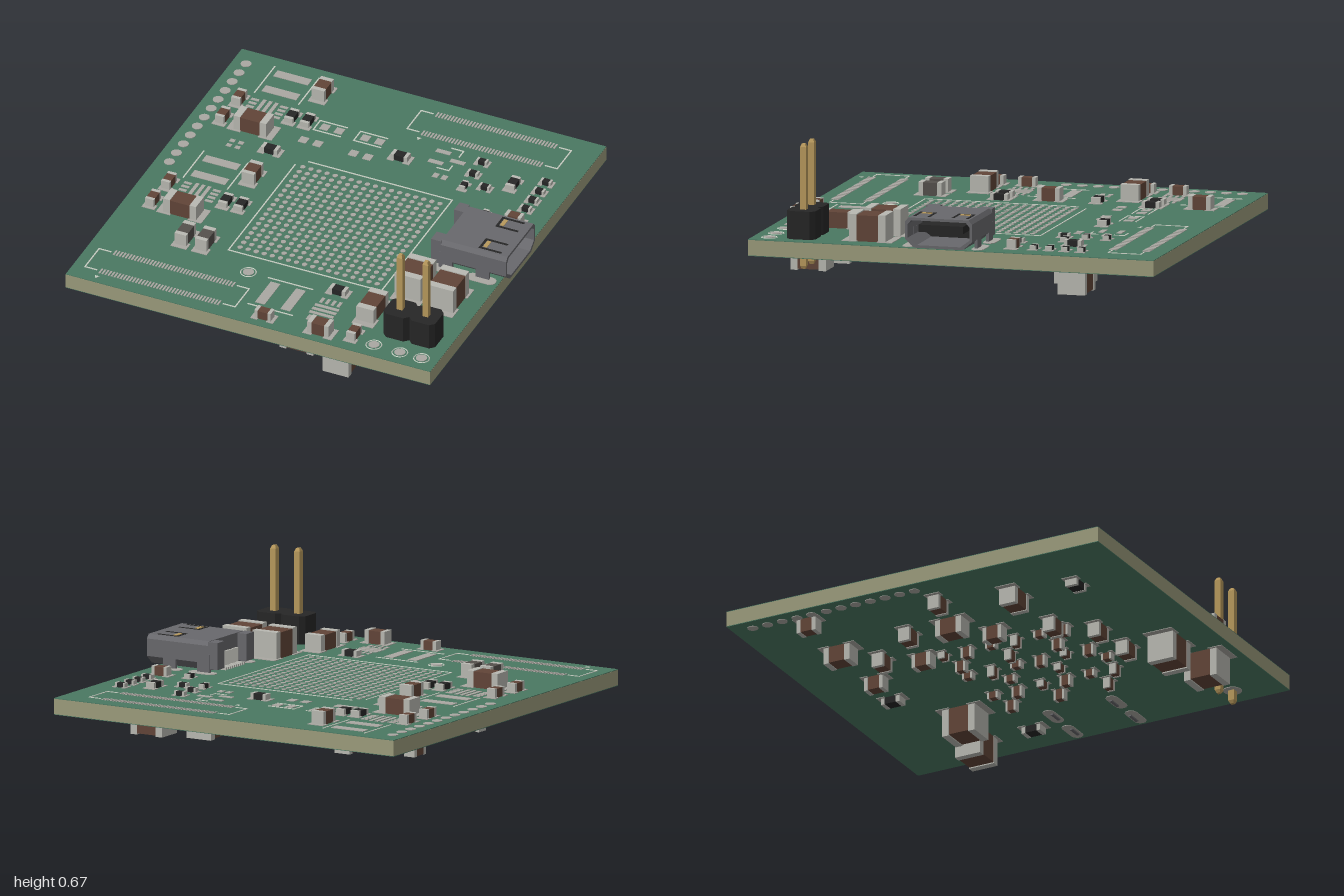
import * as THREE from 'three';
import { mergeGeometries } from 'three/addons/utils/BufferGeometryUtils.js';

const mat = (color) => new THREE.MeshStandardMaterial({ color, flatShading: true });
const M = {
  green: mat(0x4a7862), edge: mat(0x9c9c7c), pad: mat(0xaaa8a2), silk: mat(0xc4ccc0), metal: mat(0xb9b9b2),
  brown: mat(0x624538), black: mat(0x262626), grey: mat(0x55504c), shell: mat(0x68686c), gold: mat(0xb8995c),
};
const TOP = 0.22, BOT = 0.14;

export function createModel() {
  const root = new THREE.Group();
  const add = (name, geo, material, parent = root) => {
    const m = new THREE.Mesh(geo, material);
    m.name = name;
    parent.add(m);
    return m;
  };
  const box = (w, h, d, x, y, z) => new THREE.BoxGeometry(w, h, d).translate(x, y, z);

  // Flat copper and printed lines are collected, then merged
  const pads = [], lines = [];
  const level = (s) => (s > 0 ? TOP + 0.001 : BOT - 0.001);
  const pad = (x, z, w, d, s = 1) => pads.push(box(w, 0.004, d, x, level(s), z));
  const dot = (x, z, r, s = 1, n = 12) => pads.push(new THREE.CylinderGeometry(r, r, 0.004, n).translate(x, level(s), z));
  const line = (x0, z0, x1, z1) => lines.push(
    box(Math.abs(x1 - x0) + 0.007, 0.003, Math.abs(z1 - z0) + 0.007, (x0 + x1) / 2, TOP + 0.001, (z0 + z1) / 2));

  // Board: core with a coloured skin on both faces
  add('boardCore', box(1.895, 0.074, 2, -0.0225, 0.18, 0), M.edge);
  add('boardTopSkin', box(1.894, 0.003, 1.999, -0.0225, TOP - 0.0015, 0), M.green);
  add('boardBottomSkin', box(1.894, 0.003, 1.999, -0.0225, BOT + 0.0015, 0), M.green);

  // Chip part: body, two end caps and two solder pads; axis is the direction of its length
  function chip(x, z, len, wid, h, axis, material, side = 1) {
    const g = new THREE.Group();
    g.name = material === M.brown ? 'capacitor' : 'resistor';
    add('chipBody', box(len * 0.7, h * 0.96, wid * 0.97, 0, h * 0.48, 0), material, g);
    for (const s of [-1, 1]) {
      add('chipEnd', box(len * 0.2, h, wid, s * len * 0.4, h / 2, 0), M.metal, g);
      add('chipPad', box(len * 0.42, 0.004, wid + 0.022, s * len * 0.48, 0.001, 0), M.pad, g);
    }
    if (axis === 'z') g.rotation.y = Math.PI / 2;
    if (side < 0) g.rotation.x = Math.PI;
    g.position.set(x, side > 0 ? TOP : BOT, z);
    root.add(g);
  }
  const chips = (list, len, wid, h, material, side) =>
    list.forEach(([x, z, axis]) => chip(x, z, len, wid, h, axis, material, side));

  // Top side parts by size
  chips([[0.583, 0.42, 'z'], [0.762, 0.44, 'z']], 0.18, 0.135, 0.13, M.brown);
  chips([[-0.65, -0.437, 'x'], [-0.673, 0.31, 'x'], [0.478, 0.68, 'z']], 0.17, 0.09, 0.08, M.brown);
  chips([[-0.467, -0.82, 'z'], [-0.488, -0.07, 'z'], [0.32, 0.923, 'x']], 0.11, 0.065, 0.065, M.brown);
  chips([[-0.573, 0.508, 'z'], [-0.467, 0.508, 'z']], 0.115, 0.06, 0.065, M.grey);
  chips([[-0.805, -0.61, 'z'], [-0.815, -0.447, 'z'], [-0.826, 0.14, 'z'], [-0.836, 0.3, 'z'], [0.783, -0.267, 'x'],
    [0.478, 0.887, 'z'], [0.03, 0.927, 'x']], 0.085, 0.045, 0.045, M.brown);
  chips([[-0.52, -0.585, 'z'], [-0.437, -0.585, 'z'], [-0.5, -0.302, 'x'], [-0.52, 0.163, 'z'], [-0.44, 0.163, 'z'],
    [0.082, -0.505, 'x'], [0.657, -0.527, 'z'], [0.267, 0.6, 'x']], 0.085, 0.045, 0.03, M.black);
  chips([[0.45, -0.63, 'x'], [0.45, -0.527, 'x'], [0.45, -0.42, 'z'], [0.546, -0.45, 'x'], [0.636, -0.25, 'z'],
    ...[-0.606, -0.527, -0.45, -0.373].map((z) => [0.794, z, 'x'])], 0.055, 0.03, 0.022, M.black);

  // Underside parts by size
  chips([[0.655, -0.54, 'x'], [0.4, -0.46, 'z'], [0.4, 0.84, 'z'], [0.155, 0.77, 'x']], 0.175, 0.135, 0.14, M.brown, -1);
  chips([[-0.66, 0.38, 'x'], [-0.52, -0.03, 'z'], [-0.5, -0.64, 'z']], 0.14, 0.085, 0.085, M.brown, -1);
  chips([[-0.13, -0.65, 'z'], [-0.33, -0.51, 'x'], [-0.25, -0.33, 'z'], [-0.85, -0.62, 'z'], [-0.52, -0.265, 'x'],
    [-0.77, 0.03, 'x'], [-0.355, 0.11, 'z'], [-0.295, 0.39, 'x'], [-0.14, 0.55, 'x'], [0.1, 0.57, 'x']],
  0.1, 0.06, 0.07, M.brown, -1);
  chips([[0.71, -0.26, 'z'], [0.11, -0.69, 'z'], [-0.62, 0.69, 'x']], 0.1, 0.06, 0.035, M.black, -1);
  for (let i = 0; i < 6; i++) for (let j = 0; j < 6; j++) {
    if ((i + 2 * j) % 4 === 3) continue;
    chip(-0.22 + i * 0.125, -0.24 + j * 0.13 + (i % 2) * 0.03, 0.055, 0.035, 0.035 + ((i + j) % 2) * 0.02,
      (i + j) % 3 ? 'z' : 'x', M.brown, -1);
  }

  // Grid array footprint with its printed square
  for (let i = 0; i < 18; i++) for (let j = 0; j < 18; j++)
    dot(-0.309 + i * 0.0419, -0.25 + j * 0.0419, 0.0135, 1, 8);
  line(-0.3, -0.3, 0.445, -0.3);
  line(0.445, -0.3, 0.445, 0.505);
  line(-0.35, 0.505, 0.445, 0.505);
  line(-0.35, -0.25, -0.35, 0.505);

  // Two long mezzanine footprints
  for (const [x, z] of [[0.4, -0.817], [-0.52, 0.83]]) {
    for (let i = 0; i < 40; i++) for (const s of [-1, 1]) pad(x - 0.307 + i * 0.01575, z + s * 0.081, 0.009, 0.038);
    for (const s of [-1, 1]) {
      line(x + s * 0.39, z - 0.08, x + s * 0.39, z + 0.08);
      for (const t of [-1, 1]) line(x + s * 0.33, z + t * 0.08, x + s * 0.39, z + t * 0.08);
    }
    lines.push(new THREE.CylinderGeometry(0.014, 0.014, 0.003, 3).translate(x - 0.307, TOP + 0.001, z + 0.13));
  }

  // Converter footprints: inductor pads with guides and a chip outline of bars and pins; turned swaps the axes
  function converter(ix, iz, cx, cz, turned) {
    const p = (ox, oz, u, v, w, d) => (turned ? pad(ox + v, oz + u, d, w) : pad(ox + u, oz + v, w, d));
    for (const s of [-1, 1]) {
      p(ix, iz, 0, s * 0.066, 0.18, 0.05);
      if (turned) line(ix - 0.115, iz + s * 0.115, ix + 0.115, iz + s * 0.115);
      else line(ix + s * 0.115, iz - 0.115, ix + s * 0.115, iz + 0.115);
      for (let i = 0; i < 4; i++) p(cx, cz, s * 0.075, -0.045 + i * 0.03, 0.04, 0.016);
    }
    for (let i = -1; i < 2; i++) p(cx, cz, i * 0.031, 0, 0.018, 0.125);
  }
  converter(-0.652, -0.817, -0.665, -0.605, false);
  converter(-0.673, -0.055, -0.673, 0.14, false);
  converter(0.03, 0.745, 0.267, 0.765, true);

  // Small loose pads
  for (const [x, z] of [[-0.31, -0.585], [-0.1, -0.585], [-0.36, -0.45], [-0.1, -0.45]])
    for (const s of [-1, 1]) pad(x + s * 0.037, z, 0.042, 0.046);
  for (const x of [-0.31, -0.1]) {
    line(x - 0.08, -0.625, x - 0.08, -0.545);
    for (const z of [-0.625, -0.545]) line(x - 0.08, z, x + 0.06, z);
  }
  for (const [x, z] of [[0.245, -0.637], [0.245, -0.548], [0.34, -0.59]]) pad(x, z, 0.075, 0.026);
  for (const x of [0.29, 0.335]) pad(x, -0.45, 0.028, 0.034);
  for (const x of [-0.7, -0.655]) for (const z of [-0.305, -0.265]) pad(x, z, 0.026, 0.022);
  line(0.27, -0.68, 0.33, -0.68);
  line(0.33, -0.68, 0.33, -0.63);
  line(0.27, -0.51, 0.33, -0.51);
  line(0.33, -0.55, 0.33, -0.51);

  // Edge hole column, test points and header pads
  for (let i = 0; i < 12; i++) for (const s of [-1, 1]) dot(-0.9, -0.895 + i * 0.079, 0.026, s, 16);
  for (const [x, z] of [[0.593, 0.913], [0.73, 0.918], [0.843, 0.918], [-0.19, 0.627]]) {
    dot(x, z, 0.027, 1, 16);
    lines.push(new THREE.TorusGeometry(0.037, 0.003, 4, 24).rotateX(Math.PI / 2).translate(x, TOP, z));
  }

  // Pin header
  const header = new THREE.Group();
  header.name = 'pinHeader';
  root.add(header);
  for (const x of [0.663, 0.797]) {
    const a = 0.067, b = 0.07, c = 0.022;
    const block = new THREE.Shape([[-a, c - b], [c - a, -b], [a - c, -b], [a, c - b], [a, b - c], [a - c, b], [c - a, b], [-a, b - c]]
      .map(([u, v]) => new THREE.Vector2(u, v)));
    add('headerBlock', new THREE.ExtrudeGeometry(block, { depth: 0.135, bevelEnabled: false })
      .rotateX(-Math.PI / 2).translate(x, TOP, 0.762), M.black, header);
    add('headerPin', box(0.03, 0.57, 0.03, x, 0.37, 0.762), M.gold, header);
    for (const s of [-1, 1]) {
      const tip = new THREE.CylinderGeometry(0.012, 0.0212, 0.015, 4).rotateY(Math.PI / 4);
      if (s < 0) tip.rotateX(Math.PI);
      add('pinTip', tip.translate(x, 0.37 + s * 0.2925, 0.762), M.gold, header);
    }
    dot(x, 0.762, 0.045, -1, 16);
  }

  // Cable socket: hollow shell opening to the side
  const socket = new THREE.Group();
  socket.name = 'cableSocket';
  root.add(socket);
  const ZC = 0.05;
  const outline = (t) => [[-0.12 + t, 0.228 + t], [0.12 - t, 0.228 + t], [0.165 - t, 0.268 + t * 0.5], [0.165 - t, 0.352 - t],
    [0.148 - t, 0.372 - t], [-0.148 + t, 0.372 - t], [-0.165 + t, 0.352 - t], [-0.165 + t, 0.268 + t * 0.5]]
    .map(([u, v]) => new THREE.Vector2(u, v));
  const prism = (shape, x0, x1) => new THREE.ExtrudeGeometry(shape, { depth: x1 - x0, bevelEnabled: false })
    .rotateY(Math.PI / 2).translate(x0, 0, ZC);
  const tube = new THREE.Shape(outline(0));
  tube.holes.push(new THREE.Path(outline(0.013)));
  add('socketShell', prism(tube, 0.7, 0.96), M.shell, socket);
  add('socketBack', prism(new THREE.Shape(outline(0)), 0.62, 0.7), M.shell, socket);
  add('socketLiner', prism(new THREE.Shape(outline(0.014)), 0.7, 0.72), M.black, socket);
  add('socketTongue', box(0.2, 0.035, 0.22, 0.82, 0.315, ZC), M.black, socket);
  for (const s of [-1, 1]) {
    add('socketRearWing', box(0.052, 0.13, 0.065, 0.595, 0.305, ZC + s * 0.13), M.shell, socket);
    // Spring tongues cut in the roof
    const z = ZC + s * 0.095;
    for (const t of [-1, 1]) add('springSlot', box(0.11, 0.004, 0.012, 0.865, 0.3715, z + t * 0.036), M.black, socket);
    add('springSlotEnd', box(0.012, 0.004, 0.084, 0.81, 0.3715, z), M.black, socket);
    add('springTip', box(0.02, 0.006, 0.05, 0.83, 0.372, z), M.gold, socket);
    // Mounting legs and their slotted pads on both faces
    for (const x of [0.645, 0.835]) {
      add('mountingLeg', box(0.07, 0.18, 0.014, x, 0.22, ZC + s * 0.158), M.shell, socket);
      for (const f of [-1, 1]) {
        pad(x, ZC + s * 0.17, 0.09, 0.06, f);
        for (const e of [-1, 1]) dot(x + e * 0.045, ZC + s * 0.17, 0.03, f);
      }
    }
  }
  for (let i = 0; i < 10; i++) {
    add('contactLeg', box(0.05, 0.012, 0.009, 0.595, 0.232, ZC - 0.08 + i * 0.0178), M.metal, socket);
    add('contactRiser', box(0.012, 0.08, 0.009, 0.612, 0.265, ZC - 0.08 + i * 0.0178), M.metal, socket);
  }

  add('solderPads', mergeGeometries(pads), M.pad);
  add('printedLines', mergeGeometries(lines), M.silk);
  return root;
}
